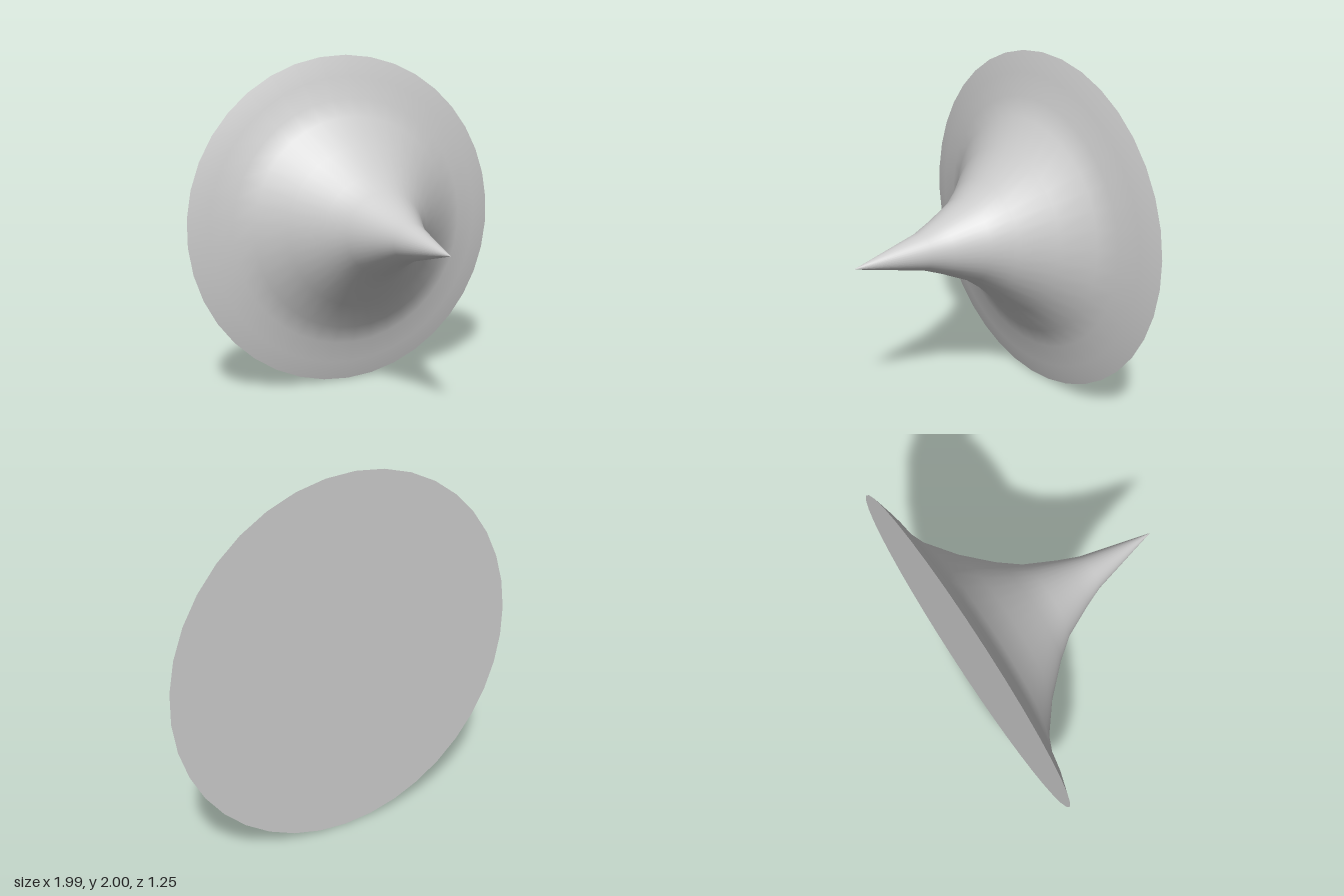
import * as THREE from 'three';

const SIDES = 38;

// Radius and depth along the horn, from the wide rim to the tip
const PROFILE = [
  [1, -0.625], [0.88, -0.587], [0.75, -0.56], [0.64, -0.51], [0.48, -0.38],
  [0.33, -0.22], [0.24, -0.1], [0.155, 0.08], [0.106, 0.2], [0, 0.625],
];

export function createModel() {
  const group = new THREE.Group();
  group.name = 'flaredCone';
  const material = new THREE.MeshStandardMaterial({ color: 0xcccccc });

  // Flared body, turned so the tip points forward
  const bodyGeometry = new THREE.LatheGeometry(
    PROFILE.map(([r, z]) => new THREE.Vector2(r, z)), SIDES);
  bodyGeometry.rotateX(Math.PI / 2);
  const body = new THREE.Mesh(bodyGeometry, material);
  body.name = 'flaredBody';
  body.position.y = 1;
  group.add(body);

  // Flat disc closing the back
  const discGeometry = new THREE.CircleGeometry(1, SIDES, Math.PI / 2);
  discGeometry.rotateY(Math.PI);
  const disc = new THREE.Mesh(discGeometry, material);
  disc.name = 'backDisc';
  disc.position.set(0, 1, PROFILE[0][1]);
  group.add(disc);

  return group;
}
